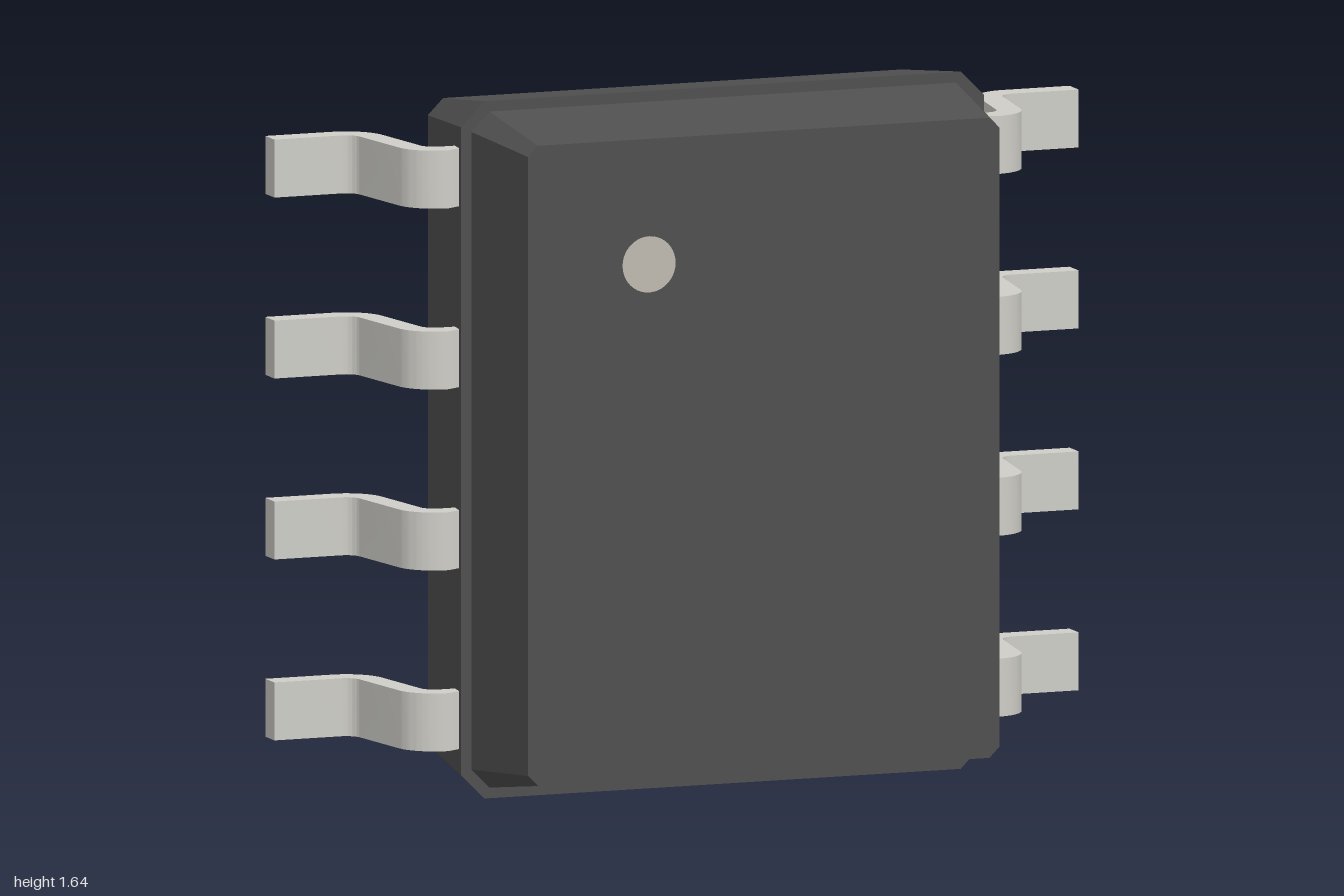
import * as THREE from 'three';
import { toCreasedNormals } from 'three/addons/utils/BufferGeometryUtils.js';

const MID_Y = 0.818;

const paint = (color) => {
  const material = new THREE.MeshStandardMaterial();
  material.color.set(color);
  return material;
};

function named(name, geometry, material) {
  const mesh = new THREE.Mesh(geometry, material);
  mesh.name = name;
  return mesh;
}

// Rectangle with chamfered corners, counter-clockwise seen from +z
function ring({ w, h, c, z }) {
  return [
    [w, -h + c], [w, h - c], [w - c, h], [-w + c, h],
    [-w, h - c], [-w, -h + c], [-w + c, -h], [w - c, -h],
  ].map(([x, y]) => [x, y, z]);
}

// Tapered block between a back ring and a front ring, with flat faces
function taperedBlock(back, front) {
  const a = ring(back), b = ring(front), n = a.length, points = [];
  for (let i = 0; i < n; i++) {
    const j = (i + 1) % n;
    points.push(a[i], a[j], b[j], a[i], b[j], b[i]);
    if (i > 0 && i < n - 1) points.push(b[0], b[i], b[j], a[0], a[j], a[i]);
  }
  const geometry = new THREE.BufferGeometry();
  geometry.setAttribute('position', new THREE.Float32BufferAttribute(points.flat(), 3));
  geometry.computeVertexNormals();
  return geometry;
}

// Gull-wing strip: two equal bends joined by their common tangent
function leadGeometry() {
  const r = 0.065, t = 0.029, width = 0.136;
  const c1 = [0.68, -0.012 + r], c2 = [0.835, 0.279 - r];
  const dx = c2[0] - c1[0], dv = c2[1] - c1[1];
  const turn = Math.atan2(dv, dx) + Math.asin((2 * r) / Math.hypot(dx, dv));
  const q = Math.PI / 2;
  const shape = new THREE.Shape();
  shape.moveTo(0.58, c1[1] - r - t);
  shape.absarc(...c1, r + t, -q, turn - q, false);
  shape.absarc(...c2, r - t, q + turn, q, true);
  shape.lineTo(1, c2[1] + r - t);
  shape.lineTo(1, c2[1] + r + t);
  shape.absarc(...c2, r + t, q, q + turn, false);
  shape.absarc(...c1, r - t, turn - q, -q, true);
  shape.lineTo(0.58, c1[1] - r + t);
  shape.closePath();
  const geometry = new THREE.ExtrudeGeometry(shape, { depth: width, bevelEnabled: false, curveSegments: 10 });
  geometry.translate(0, 0, -width / 2);
  geometry.rotateX(-Math.PI / 2);
  return toCreasedNormals(geometry, 0.6);
}

export function createModel() {
  const model = new THREE.Group();
  model.name = 'chipPackage';
  const plastic = paint(0x505050);
  const metal = paint(0xcfcec8);

  // Moulded body halves, the rear one slightly larger
  const rear = named('rearBody', taperedBlock(
    { w: 0.608, h: 0.776, c: 0.038, z: -0.277 },
    { w: 0.65, h: 0.818, c: 0.058, z: 0.043 }), plastic);
  const front = named('frontBody', taperedBlock(
    { w: 0.625, h: 0.793, c: 0.045, z: 0.043 },
    { w: 0.586, h: 0.751, c: 0.025, z: 0.305 }), plastic);
  rear.position.y = front.position.y = MID_Y;
  model.add(rear, front);

  // Pin-one marker
  const marker = named('markerDot', new THREE.CircleGeometry(0.066, 40), paint(0xbfbbb0));
  marker.position.set(-0.286, 1.275, 0.307);
  model.add(marker);

  // Four leads on each side; a half turn about z gives the other side
  const geometry = leadGeometry();
  for (const side of ['left', 'right']) {
    const leads = new THREE.Group();
    leads.name = side + 'Leads';
    for (let i = 0; i < 4; i++) {
      const lead = named(side + 'Lead' + (i + 1), geometry, metal);
      lead.position.y = MID_Y + 0.003 + (i - 1.5) * 0.4245;
      if (side === 'right') lead.rotation.z = Math.PI;
      leads.add(lead);
    }
    model.add(leads);
  }
  return model;
}
